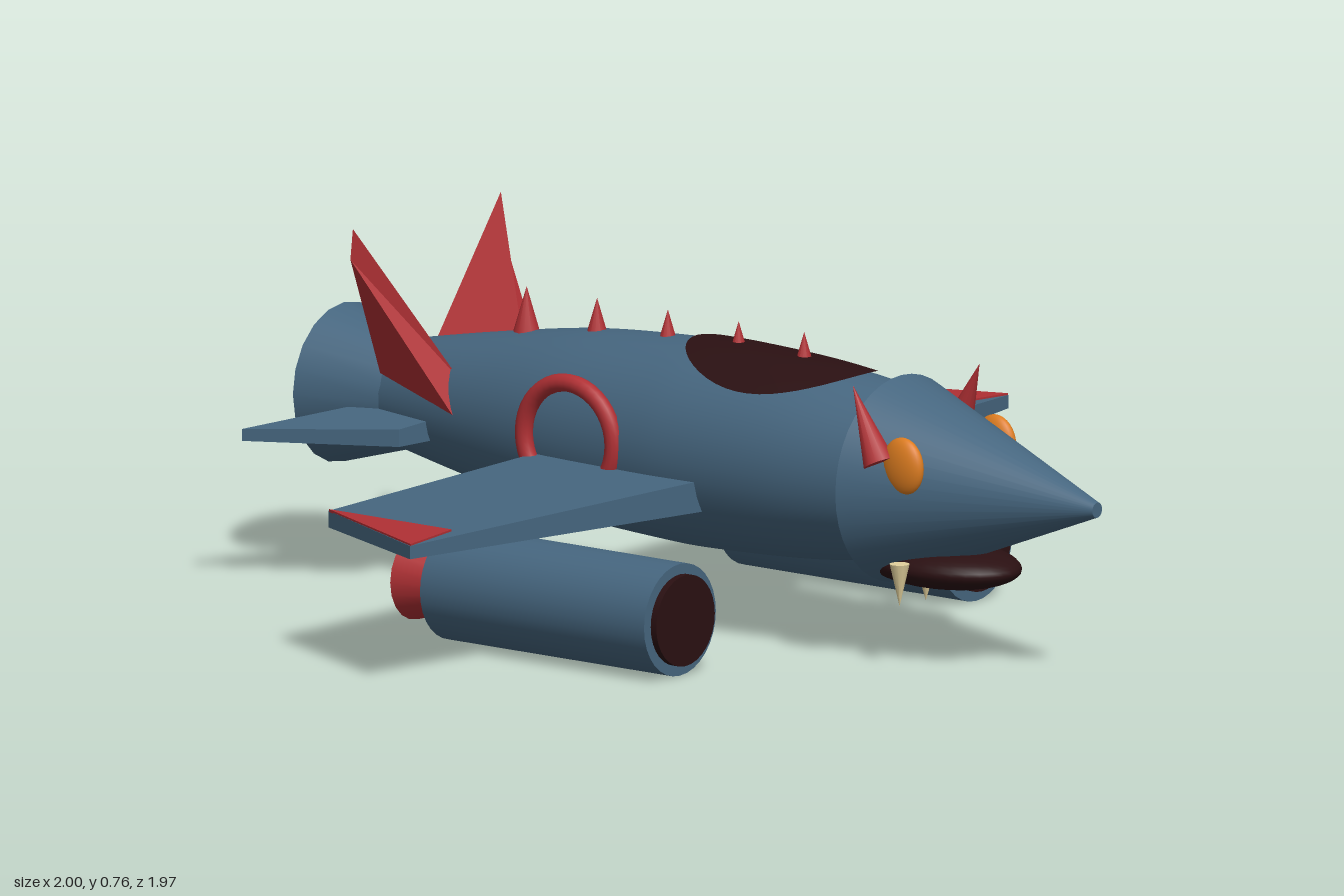
import * as THREE from 'three';

const paint = (name, color) => {
  const m = new THREE.MeshStandardMaterial({ color });
  m.name = name;
  return m;
};

// Flat-sided solid between two matching polygons, wound outward.
function loft(a, b) {
  const n = a.length, tris = [];
  for (let i = 1; i < n - 1; i++) {
    tris.push([a[0], a[i], a[i + 1]], [b[0], b[i + 1], b[i]]);
  }
  for (let i = 0; i < n; i++) {
    const j = (i + 1) % n;
    tris.push([a[i], b[i], b[j]], [a[i], b[j], a[j]]);
  }
  let volume = 0;
  const v = p => new THREE.Vector3(...p);
  tris.forEach(([p, q, r]) => { volume += v(p).dot(v(q).cross(v(r))); });
  if (volume < 0) tris.forEach(t => t.reverse());
  const g = new THREE.BufferGeometry();
  g.setAttribute('position', new THREE.Float32BufferAttribute(tris.flat(2), 3));
  g.computeVertexNormals();
  return g;
}

export function createModel() {
  const group = new THREE.Group();
  const blue = paint('steel blue', 0x46667f);
  const red = paint('crimson', 0xb03034);
  const dark = paint('dark maroon', 0x2a1012);
  const orange = paint('orange', 0xdc7c20);
  const bone = paint('bone', 0xe2d09c);

  const add = (name, geometry, material, x = 0, y = 0, z = 0) => {
    const mesh = new THREE.Mesh(geometry, material);
    mesh.name = name;
    mesh.position.set(x, y, z);
    group.add(mesh);
    return mesh;
  };
  // Tapered tube along x, from x0 (radius r0) to x1 (radius r1)
  const tube = (name, x0, r0, x1, r1, y, z, material, sides = 32) => {
    const g = new THREE.CylinderGeometry(r1, r0, x1 - x0, sides).rotateZ(-Math.PI / 2);
    return add(name, g, material, (x0 + x1) / 2, y, z);
  };
  const ellipsoid = (name, x, y, z, rx, ry, rz, material) =>
    add(name, new THREE.SphereGeometry(1, 32, 20).scale(rx, ry, rz), material, x, y, z);
  // Cone pointing from a base centre to a tip
  const spike = (name, base, tip, radius, material) => {
    const a = new THREE.Vector3(...base), d = new THREE.Vector3(...tip).sub(a);
    const h = d.length();
    const mesh = add(name, new THREE.ConeGeometry(radius, h, 12).translate(0, h / 2, 0), material, ...base);
    mesh.quaternion.setFromUnitVectors(new THREE.Vector3(0, 1, 0), d.normalize());
    return mesh;
  };

  // Fuselage
  const axisY = 0.375;
  const profile = new THREE.SplineCurve([
    [0.113, -0.83], [0.157, -0.6], [0.196, -0.35], [0.213, -0.1],
    [0.215, 0.05], [0.204, 0.28], [0.178, 0.5],
  ].map(p => new THREE.Vector2(...p)));
  const points = profile.getPoints(36);
  add('fuselage', new THREE.LatheGeometry(points, 40).rotateZ(-Math.PI / 2), blue, 0, axisY, 0);
  tube('tailFlare', -1, 0.168, -0.81, 0.115, axisY, 0, blue, 20);
  tube('noseCone', 0.48, 0.217, 1, 0.016, 0.366, 0, blue, 40);

  // Canopy hugging the fuselage surface
  const bodyRadius = x => {
    let i = 1;
    while (i < points.length - 1 && points[i].y < x) i++;
    const p = points[i - 1], q = points[i];
    return THREE.MathUtils.lerp(p.x, q.x, (x - p.y) / (q.y - p.y));
  };
  const canopy = new THREE.RingGeometry(0.001, 1, 48, 10).rotateX(-Math.PI / 2);
  const pos = canopy.attributes.position;
  for (let i = 0; i < pos.count; i++) {
    const x = 0.163 + pos.getX(i) * 0.225, z = pos.getZ(i) * 0.152;
    const r = bodyRadius(x) + 0.007;
    pos.setXYZ(i, x, axisY + Math.sqrt(r * r - z * z), z);
  }
  canopy.computeVertexNormals();
  add('canopy', canopy, dark);

  // Spine spikes
  for (const x of [-0.515, -0.328, -0.14, 0.048, 0.222]) {
    spike('spineSpike', [x, 0.545, 0], [x, 0.64, 0], 0.028, red);
  }

  // Ring on one flank
  add('sideRing', new THREE.TorusGeometry(0.119, 0.019, 12, 40), red, -0.236, 0.387, 0.207);

  // Mouth
  ellipsoid('mouth', 0.593, 0.2, 0, 0.182, 0.047, 0.124, dark);

  for (const [side, s] of [['left', -1], ['right', 1]]) {
    const m = pts => pts.map(([x, y, z]) => [x, y, z * s]);

    // Wing, thinning toward its tip
    const plan = [[-0.335, 0.1], [-0.37, 0.83], [-0.03, 0.983], [0.118, 0.1]];
    const top = z => 0.348 - 0.034 * z, bottom = z => 0.273 + 0.014 * z;
    add(side + 'Wing', loft(
      m(plan.map(([x, z]) => [x, top(z), z])),
      m(plan.map(([x, z]) => [x, bottom(z), z]))), blue);
    const tipPlan = [[-0.368, 0.831], [-0.03, 0.981], [-0.042, 0.831]];
    add(side + 'WingTipPanel', loft(
      m(tipPlan.map(([x, z]) => [x, top(z) + 0.004, z])),
      m(tipPlan.map(([x, z]) => [x, top(z) - 0.002, z]))), red);

    // Tailplane
    const tail = [[-0.86, 0.08], [-0.98, 0.36], [-0.68, 0.215], [-0.655, 0.08]];
    add(side + 'Tailplane', loft(
      m(tail.map(([x, z]) => [x, 0.372 - 0.1 * z, z])),
      m(tail.map(([x, z]) => [x, 0.318 - 0.02 * z, z]))), blue);

    // Swept tail fin leaning outward
    add(side + 'TailFin', loft(
      m([[-0.81, 0.46, 0.055], [-0.605, 0.45, 0.11], [-0.78, 0.765, 0.243]]),
      m([[-0.815, 0.435, 0.11], [-0.583, 0.385, 0.16], [-0.785, 0.7, 0.245]])), red);

    // Engine
    const z = 0.486 * s;
    tube(side + 'Engine', -0.31, 0.118, 0.285, 0.118, 0.12, z, blue);
    tube(side + 'EngineIntake', 0.28, 0.096, 0.3, 0.096, 0.12, z, dark);
    tube(side + 'EngineExhaust', -0.41, 0.092, -0.3, 0.058, 0.122, z, red, 20);

    // Eye and teeth
    ellipsoid(side + 'Eye', 0.607, 0.43, 0.152 * s, 0.052, 0.062, 0.024, orange);
    spike(side + 'Fang', [0.59, 0.222, 0.142 * s], [0.59, 0.132, 0.142 * s], 0.021, bone);
    spike(side + 'Tooth', [0.6, 0.175, 0.068 * s], [0.6, 0.134, 0.068 * s], 0.012, bone);
  }

  // Brow horns, one raked back and one raked forward
  spike('rightBrowHorn', [0.56, 0.435, 0.172], [0.483, 0.588, 0.163], 0.034, red);
  spike('leftBrowHorn', [0.487, 0.44, -0.172], [0.56, 0.592, -0.158], 0.034, red);

  return group;
}
